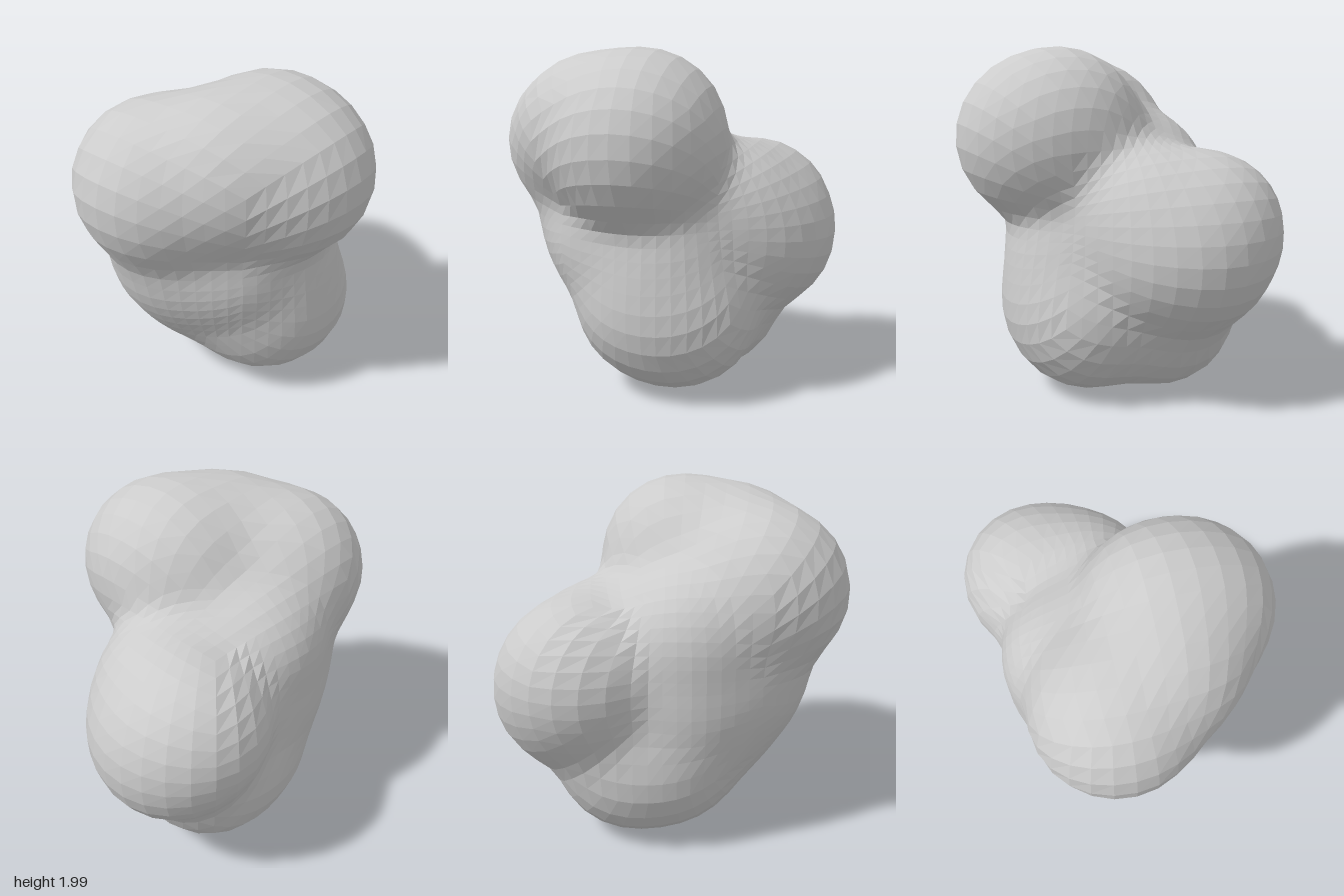
import * as THREE from 'three';

// Overlapping lobes: x, y, z, radius
const LOBES = [
  [0.37, 1.47, 0.05, 0.46],     // upper left
  [0.20, 1.54, 0.02, 0.41],     // crown back
  [0.16, 1.52, 0.35, 0.42],     // crown front
  [-0.15, 1.42, 0.52, 0.465],   // upper front
  [-0.43, 1.00, -0.52, 0.41],   // back right
  [-0.32, 0.85, -0.57, 0.41],   // back
  [-0.16, 0.86, -0.52, 0.36],   // back middle
  [-0.12, 1.05, -0.40, 0.38],   // back saddle
  [0.15, 0.50, 0.02, 0.42],     // lower left
  [0.15, 0.46, -0.17, 0.42],    // lower left back
  [0.17, 0.80, -0.05, 0.38],    // left flank
  [-0.28, 0.44, -0.25, 0.42],   // lower right back
  [-0.28, 0.47, -0.02, 0.41],   // lower right
  [-0.15, 0.93, 0.36, 0.41],    // belly
  [-0.15, 0.70, 0.20, 0.41],    // lower belly
  [0.10, 0.88, 0.25, 0.36],     // belly left
  [-0.28, 0.85, 0.08, 0.41],    // right side
  [-0.30, 1.20, 0.10, 0.39],    // right flank
  [-0.05, 1.10, -0.05, 0.42],   // core
];
const BLEND = 0.065;
const CENTRE = new THREE.Vector3(-0.08, 1.0, 0);

// Smoothly blended distance to the lobes
function distanceTo(p) {
  let sum = 0;
  for (const [x, y, z, r] of LOBES) {
    const d = Math.hypot(p.x - x, p.y - y, p.z - z) - r;
    sum += Math.exp(-d / BLEND);
  }
  return -BLEND * Math.log(sum);
}

// March inwards along a direction until the skin is met
function skinPoint(dir) {
  let t = 2;
  const p = new THREE.Vector3();
  for (let i = 0; i < 120; i++) {
    p.copy(CENTRE).addScaledVector(dir, t);
    const d = distanceTo(p);
    if (d < 0.0005) break;
    t -= d;
  }
  return p;
}

// Subdivided box whose vertices are moved onto the skin
function makeBlob() {
  const geo = new THREE.BoxGeometry(2, 2, 2, 13, 14, 13);
  const pos = geo.attributes.position;
  const dir = new THREE.Vector3();
  const even = (v) => Math.tan(v * Math.PI / 4);
  for (let i = 0; i < pos.count; i++) {
    dir.set(even(pos.getX(i)), even(pos.getY(i)), even(pos.getZ(i))).normalize();
    const p = skinPoint(dir);
    pos.setXYZ(i, p.x, p.y, p.z);
  }
  geo.computeVertexNormals();
  return geo;
}

export function createModel() {
  const group = new THREE.Group();
  group.name = 'lumpyRock';
  const material = new THREE.MeshStandardMaterial({ color: 0xcccccc, flatShading: true });
  const blob = new THREE.Mesh(makeBlob(), material);
  blob.name = 'blendedLobes';
  group.add(blob);
  return group;
}
